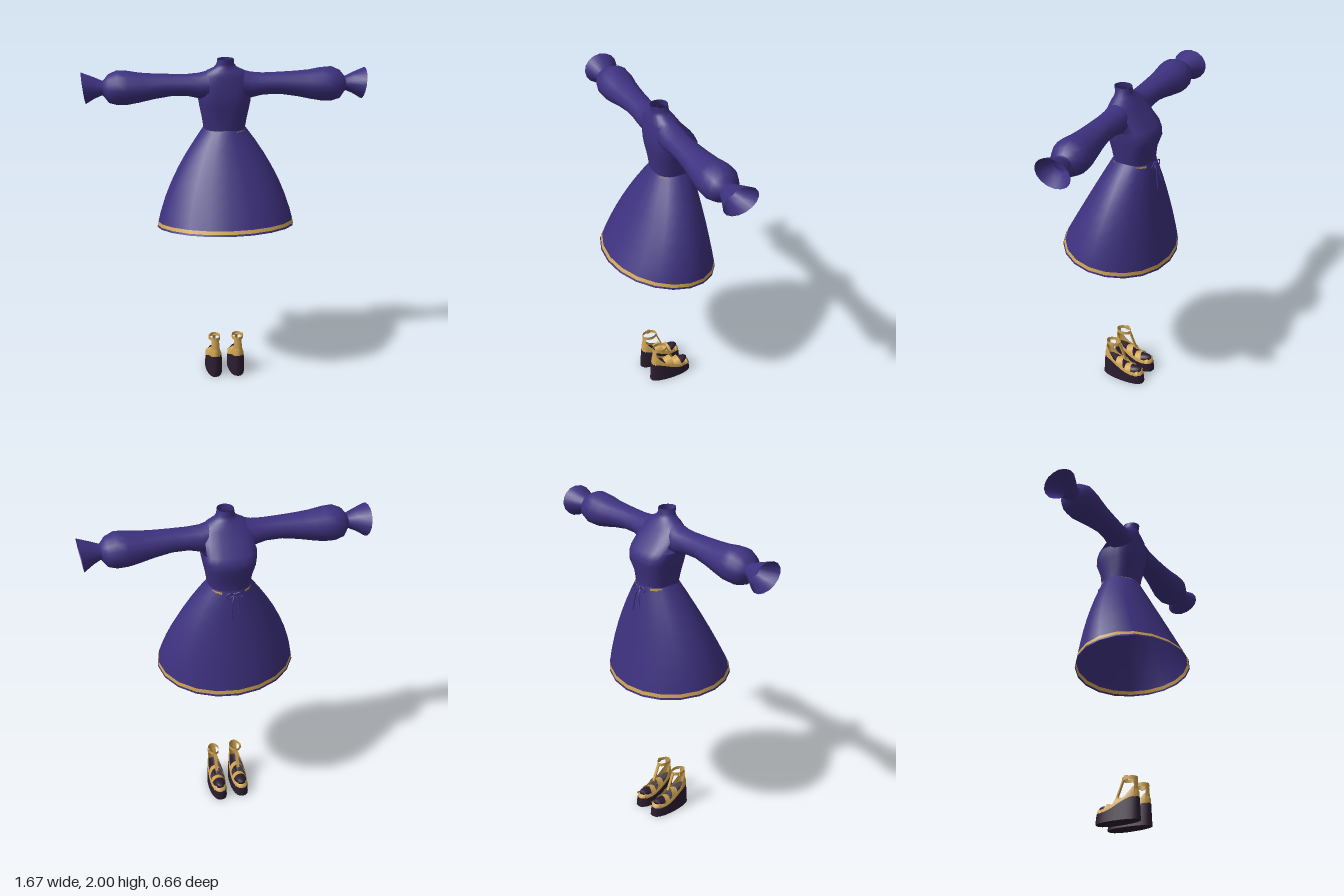
import * as THREE from 'three';

const mat = (name, color, side = THREE.DoubleSide) => {
  const m = new THREE.MeshStandardMaterial({ color, side });
  m.name = name;
  return m;
};
const lerp = THREE.MathUtils.lerp;

export function createModel() {
  const purple = mat('purple cloth', 0x3d317f);
  const gold = mat('gold trim', 0xcfa452);
  const dark = mat('dark sole', 0x2b1c30);
  const model = new THREE.Group();

  const add = (parent, name, geometry, material, pos = [0, 0, 0]) => {
    const m = new THREE.Mesh(geometry, material);
    m.name = name;
    m.position.set(...pos);
    parent.add(m);
    return m;
  };

  // Skin a stack of closed rings; point(ring, angle) returns [x, y, z].
  // slot(ring, segment) gives a material index, or -1 for an opening.
  function loft(rings, n, point, slot = () => 0) {
    const pos = [], idx = [], geo = new THREE.BufferGeometry();
    rings.forEach(r => {
      for (let j = 0; j < n; j++) pos.push(...point(r, (j / n) * Math.PI * 2));
    });
    for (let i = 0; i < rings.length - 1; i++) {
      for (let j = 0; j < n; j++) {
        const s = slot(i, j);
        if (s < 0) continue;
        const k = (j + 1) % n, a = i * n + j, b = i * n + k, c = b + n, d = a + n;
        geo.addGroup(idx.length, 6, s);
        idx.push(a, b, c, a, c, d);
      }
    }
    geo.setAttribute('position', new THREE.Float32BufferAttribute(pos, 3));
    geo.setIndex(idx);
    geo.computeVertexNormals();
    return geo;
  }
  const power = (v, e) => Math.sign(v) * Math.abs(v) ** e;

  // Skirt with slanting hem and a gold stripe just above it; d = 0 waist, 1 hem
  const skirtPoint = (d, a) => {
    const hz = 0.33 * Math.cos(a);
    const hemY = 0.99 + 0.137 * hz - 0.12 * hz * hz;
    return [
      (0.125 + 0.29 * (1.6 * d - 0.6 * d * d)) * Math.sin(a),
      lerp(1.58, hemY, d),
      lerp(-0.0875, 0, d) + lerp(0.1175, 0.33, d) * Math.cos(a),
    ];
  };
  const skirtRings = [1, 0.982, 0.947, 0.85, 0.7, 0.55, 0.4, 0.27, 0.13, 0];
  add(model, 'skirt', loft(skirtRings, 20, skirtPoint, i => (i === 1 ? 1 : 0)), [purple, gold]);

  // Bodice and collar: [y, half width, z of one side, z of chest side, squareness]
  const bodice = [
    [1.575, 0.124, 0.03, -0.205, 0.9],
    [1.64, 0.134, 0.036, -0.207, 0.8],
    [1.71, 0.148, 0.048, -0.229, 0.7],
    [1.75, 0.155, 0.054, -0.224, 0.7],
    [1.785, 0.157, 0.056, -0.206, 0.7],
    [1.84, 0.155, 0.055, -0.155, 0.75],
    [1.9, 0.145, 0.05, -0.11, 0.85],
    [1.93, 0.11, 0.042, -0.09, 0.95],
    [1.95, 0.068, 0.034, -0.072, 1],
    [1.97, 0.052, 0.034, -0.066, 1],
    [2.0, 0.048, 0.04, -0.064, 1],
  ];
  const bodicePoint = ([y, rx, z0, z1, e], a) => [
    rx * power(Math.sin(a), e), y, (z0 + z1) / 2 + ((z0 - z1) / 2) * power(Math.cos(a), e),
  ];
  const armhole = (i, j) =>
    (i === 4 || i === 5) && Math.abs(Math.sin(((j + 0.5) / 24) * Math.PI * 2)) > 0.85 ? -1 : 0;
  add(model, 'bodice', loft(bodice, 24, bodicePoint, armhole), [purple]);

  // Puffed sleeves with flared cuffs: [x, bottom y, top y, chest-side z, other z]
  const sleeve = [
    [0.1, 1.765, 1.932, -0.105, 0.05],
    [0.15, 1.765, 1.918, -0.11, 0.05],
    [0.22, 1.782, 1.912, -0.102, 0.048],
    [0.32, 1.784, 1.914, -0.105, 0.05],
    [0.42, 1.768, 1.918, -0.117, 0.057],
    [0.5, 1.75, 1.924, -0.13, 0.067],
    [0.57, 1.737, 1.936, -0.143, 0.075],
    [0.63, 1.736, 1.94, -0.144, 0.074],
    [0.68, 1.75, 1.918, -0.125, 0.056],
    [0.705, 1.785, 1.888, -0.092, 0.024],
    [0.715, 1.797, 1.88, -0.085, 0.018],
    [0.76, 1.778, 1.9, -0.112, 0.035],
    [0.825, 1.745, 1.928, -0.152, 0.063],
  ];
  for (const s of [1, -1]) {
    const sleevePoint = ([x, y0, y1, z0, z1], a) => {
      const tilt = x > 0.8 ? 0.012 * Math.cos(a) : 0;
      return [
        s * (x + tilt),
        (y0 + y1) / 2 + ((y1 - y0) / 2) * Math.cos(a),
        (z0 + z1) / 2 + ((s * (z1 - z0)) / 2) * Math.sin(a),
      ];
    };
    add(model, s > 0 ? 'leftSleeve' : 'rightSleeve', loft(sleeve, 16, sleevePoint), [purple]);
  }

  // Waist cord, gold where it lies over the cloth
  const beltPoint = (y, a) => [0.133 * Math.sin(a), y, -0.0875 + 0.126 * Math.cos(a)];
  const cordShows = (i, j) => (j % 6 === 2 || j % 6 === 3 ? 0 : -1);
  add(model, 'waistCord', loft([1.556, 1.57], 24, beltPoint, cordShows), [gold]);

  // Bow with two loops and two hanging tails
  const bow = new THREE.Group();
  bow.name = 'bow';
  model.add(bow);
  const tube = pts => new THREE.TubeGeometry(
    new THREE.CatmullRomCurve3(pts.map(p => new THREE.Vector3(...p))), 14, 0.004, 6);
  add(bow, 'bowKnot', new THREE.SphereGeometry(0.011, 10, 8), purple, [0, 1.56, -0.216]);
  for (const s of [1, -1]) {
    add(bow, 'bowLoop', tube([[0, 1.56, -0.218], [s * 0.03, 1.575, -0.225],
      [s * 0.05, 1.555, -0.222], [s * 0.03, 1.543, -0.228], [0, 1.56, -0.218]]), purple);
    add(bow, 'bowTail', tube([[0, 1.56, -0.218], [s * 0.014, 1.53, -0.235],
      [s * 0.02, 1.48, -0.243], [s * 0.026, s > 0 ? 1.42 : 1.45, -0.251]]), purple);
  }

  // Platform sandals, toes toward -z
  const soleTop = z => 0.06 + 0.075 * THREE.MathUtils.smoothstep(z, -0.14, 0.07);
  const outline = (k, a) => [
    0.053 * k * power(Math.sin(a), 0.75) * (1 - 0.1 * Math.cos(a)),
    -0.058 + 0.142 * k * Math.cos(a),
  ];
  const solePoint = ([k, h], a) => {
    const [x, z] = outline(k, a);
    return [x, h * soleTop(z), z];
  };
  const wallPoint = ([k, h], a) => {
    const [x, z] = outline(k, a);
    return [x, soleTop(z) + h * (0.022 + 0.045 * THREE.MathUtils.smoothstep(z, 0, 0.06)), z];
  };
  // Arched band over the foot, running across x
  const arch = (rx, ry, width) =>
    new THREE.CylinderGeometry(1, 1, width, 14, 1, true, Math.PI / 2, Math.PI)
      .rotateX(Math.PI / 2).scale(rx, ry, 1);
  for (const s of [1, -1]) {
    const shoe = new THREE.Group();
    shoe.name = s > 0 ? 'leftShoe' : 'rightShoe';
    shoe.position.x = s * 0.071;
    model.add(shoe);
    const soleRings = [[0, 0], [1, 0], [1, 0], [0.95, 1], [0.95, 1], [0, 1]];
    add(shoe, 'platformSole', loft(soleRings, 24, solePoint), [dark]);
    add(shoe, 'shoeUpper', loft([[0.95, -0.2], [0.93, 0.5], [0.84, 1]], 24, wallPoint), [gold]);
    // Bands across the toes and instep: [z, base y, half width, height, band width]
    for (const [z, y, rx, ry, w] of [
      [-0.158, 0.06, 0.042, 0.03, 0.036],
      [-0.108, 0.065, 0.046, 0.048, 0.044],
      [-0.05, 0.085, 0.044, 0.06, 0.05],
    ]) {
      const band = add(shoe, 'footBand', arch(rx, ry, w), gold, [0, y, z]);
      band.rotation.x = 0.3;
      if (band.geometry.boundingBox === null) band.geometry.computeBoundingBox();
    }
    add(shoe, 'toeLining', new THREE.SphereGeometry(1, 16, 10).scale(0.038, 0.03, 0.085),
      dark, [0, 0.07, -0.1]).rotation.x = 0.3;
    // Heel counter, ankle strap and instep strap
    const counter = new THREE.CylinderGeometry(0.034, 0.042, 0.12, 10, 1, true, -0.75, 1.5);
    add(shoe, 'heelCounter', counter.scale(1, 1, 1.1), gold, [0, 0.19, 0.026]);
    const strap = new THREE.CylinderGeometry(0.034, 0.034, 0.022, 18, 1, true);
    add(shoe, 'ankleStrap', strap.scale(1, 1, 1.4), gold, [0, 0.248, 0.018]);
    add(shoe, 'instepStrap', new THREE.BoxGeometry(0.018, 0.115, 0.008), gold,
      [0, 0.19, -0.048]).rotation.x = 0.38;
    add(shoe, 'buckle', new THREE.BoxGeometry(0.008, 0.028, 0.022), gold, [s * 0.034, 0.248, 0.01]);
  }
  return model;
}
